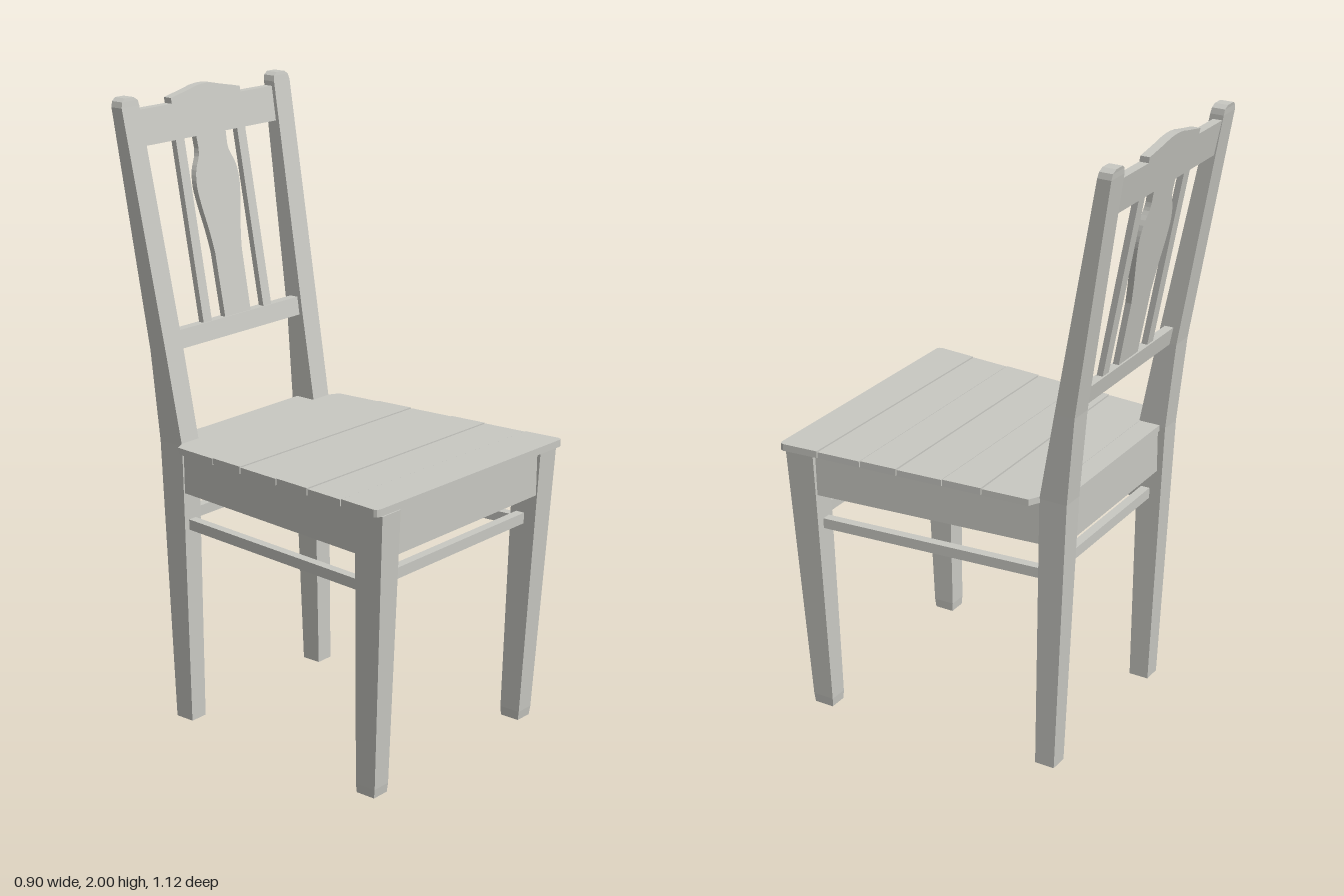
import * as THREE from 'three';

export function createModel() {
  const chair = new THREE.Group();
  chair.name = 'chair';
  const paint = new THREE.MeshStandardMaterial({ color: 0xc8c8c2 });
  paint.name = 'greyPaint';
  const wood = new THREE.MeshStandardMaterial({ color: 0x7a5538 });
  wood.name = 'bareWood';

  function add(name, geometry, material = paint) {
    const mesh = new THREE.Mesh(geometry, material);
    mesh.name = name;
    chair.add(mesh);
    return mesh;
  }

  // Square post through sections [y, inner x, outer x, back z, front z], mirrored by side
  function post(name, sections, side) {
    const n = sections.length - 1;
    const box = new THREE.BoxGeometry(1, 1, 1, 1, n, 1);
    const p = box.attributes.position;
    for (let i = 0; i < p.count; i++) {
      const [y, inner, outer, back, front] = sections[Math.round((p.getY(i) + 0.5) * n)];
      const isOuter = p.getX(i) * side > 0;
      p.setXYZ(i, side * (isOuter ? outer : inner), y, p.getZ(i) > 0 ? front : back);
    }
    const geometry = box.toNonIndexed();
    geometry.computeVertexNormals();
    add(name, geometry, [paint, paint, paint, wood, paint, paint]);
  }

  // Flat piece with an outline in x and z, between two heights
  function slab(name, outline, y0, y1, material) {
    const shape = new THREE.Shape(outline.map(([x, z]) => new THREE.Vector2(x, z)));
    const geometry = new THREE.ExtrudeGeometry(shape, { depth: y1 - y0, bevelEnabled: false });
    geometry.rotateX(Math.PI / 2).translate(0, y1, 0);
    add(name, geometry, material);
  }

  // Back piece with an outline in x and y, leaning with the backrest
  function leaning(name, outline, thickness, inset = 0) {
    const shape = new THREE.Shape(outline.map(([x, y]) => new THREE.Vector2(x, y)));
    const geometry = new THREE.ExtrudeGeometry(shape, { depth: thickness, bevelEnabled: false });
    const p = geometry.attributes.position;
    for (let i = 0; i < p.count; i++) {
      const front = -0.384 - 0.186 * (p.getY(i) - 1.22) - inset;
      p.setZ(i, front - thickness + p.getZ(i));
    }
    geometry.computeVertexNormals();
    add(name, geometry);
  }

  const rect = (x0, x1, y0, y1) => [[x0, y0], [x1, y0], [x1, y1], [x0, y1]];
  const mirrored = (half) => [...half, ...half.map(([x, y]) => [-x, y]).reverse()];

  for (const side of [1, -1]) {
    const name = side > 0 ? 'left' : 'right';
    // Legs
    post(name + 'FrontLeg', [
      [0, 0.337, 0.398, 0.43, 0.497],
      [0.03, 0.336, 0.4, 0.428, 0.501],
      [0.917, 0.348, 0.432, 0.448, 0.55],
    ], side);
    post(name + 'BackLeg', [
      [0, 0.283, 0.345, -0.37, -0.303],
      [0.93, 0.277, 0.353, -0.41, -0.317],
      [1.22, 0.283, 0.361, -0.437, -0.37],
      [1.97, 0.309, 0.385, -0.555, -0.511],
      [1.988, 0.313, 0.38, -0.557, -0.514],
      [1.998, 0.328, 0.365, -0.559, -0.516],
    ], side);

    // Side apron with its bare inner face, and the side stretcher
    const strip = (backX, frontX, z0, z1, w) =>
      [[backX, z0], [frontX, z1], [frontX - w, z1], [backX - w, z0]].map(([x, z]) => [x * side, z]);
    slab(name + 'Apron', strip(0.345, 0.42, -0.33, 0.47, 0.03), 0.775, 0.917);
    slab(name + 'ApronInside', strip(0.315, 0.39, -0.33, 0.47, 0.004), 0.776, 0.916, wood);
    slab(name + 'Stretcher', strip(0.33, 0.395, -0.33, 0.45, 0.03), 0.65, 0.684);

    // Thin back slats
    leaning(name + 'Slat', rect(0.122 * side, 0.16 * side, 1.27, 1.85), 0.02, 0.004);
  }

  // Front and back aprons and stretchers
  slab('frontApron', rect(-0.36, 0.36, 0.508, 0.538), 0.775, 0.917);
  slab('frontApronInside', rect(-0.36, 0.36, 0.504, 0.508), 0.776, 0.916, wood);
  slab('backApron', rect(-0.29, 0.29, -0.385, -0.355), 0.775, 0.917);
  slab('backApronInside', rect(-0.29, 0.29, -0.355, -0.351), 0.776, 0.916, wood);
  slab('frontStretcher', rect(-0.35, 0.35, 0.465, 0.495), 0.673, 0.708);
  slab('backStretcher', rect(-0.29, 0.29, -0.36, -0.33), 0.673, 0.708);

  // Seat planks, slightly skewed, with bare undersides between the aprons
  const edge = (z) => 0.41 + 0.0725 * z;
  const seams = [[-0.32, -0.32], [-0.143, -0.143], [-0.022, -0.01], [0.132, 0.146],
    [0.263, 0.274], [0.4, 0.424], [0.545, 0.56]];
  const gap = 0.002;
  for (let i = 0; i < 6; i++) {
    const [bl, br] = seams[i].map((z) => z + (i > 0 ? gap : 0));
    const [fl, fr] = seams[i + 1].map((z) => z - (i < 5 ? gap : 0));
    const outline = [];
    if (i === 0) outline.push([-0.388, -0.3], [-0.35, bl], [0.35, br], [0.388, -0.3]);
    else outline.push([-edge(bl), bl], [edge(br), br]);
    if (i === 5) {
      outline.push([edge(fr), fr - 0.014], [edge(fr) - 0.004, fr - 0.004], [edge(fr) - 0.014, fr],
        [-edge(fl) + 0.014, fl], [-edge(fl) + 0.004, fl - 0.004], [-edge(fl), fl - 0.014]);
    } else outline.push([edge(fr), fr], [-edge(fl), fl]);
    slab('seatPlank' + (i + 1), outline, 0.917, 0.938 + 0.002 * (i % 2));

    const inX = (z) => 0.345 + 0.09 * z;
    const front = (z) => Math.min(z, 0.505);
    slab('seatUnderside' + (i + 1), [[-inX(bl), bl], [inX(br), br],
      [inX(front(fr)), front(fr)], [-inX(front(fl)), front(fl)]], 0.913, 0.917, wood);
  }
  // Seat filler between the back legs
  slab('seatBackFiller', rect(-0.28, 0.28, -0.39, -0.32), 0.917, 0.937);
  slab('seatBackUnderside', rect(-0.28, 0.28, -0.352, -0.32), 0.913, 0.917, wood);

  // Backrest rails
  leaning('lowerBackRail', rect(-0.3, 0.3, 1.217, 1.275), 0.03);
  leaning('crestRail', mirrored([[0.315, 1.845], [0.315, 1.955], [0.158, 1.955],
    [0.158, 1.973], [0.08, 1.988], [0.04, 1.997], [0.012, 2]]), 0.03);

  // Vase-shaped centre splat
  const curve = new THREE.SplineCurve([[0.062, 1.48], [0.073, 1.55], [0.09, 1.63], [0.098, 1.69],
    [0.091, 1.74], [0.071, 1.78], [0.066, 1.805]].map(([x, y]) => new THREE.Vector2(x, y)));
  const half = [[0.06, 1.27], ...curve.getPoints(18).map((v) => [v.x, v.y]), [0.068, 1.85]];
  leaning('backSplat', mirrored(half), 0.02, 0.004);

  return chair;
}
